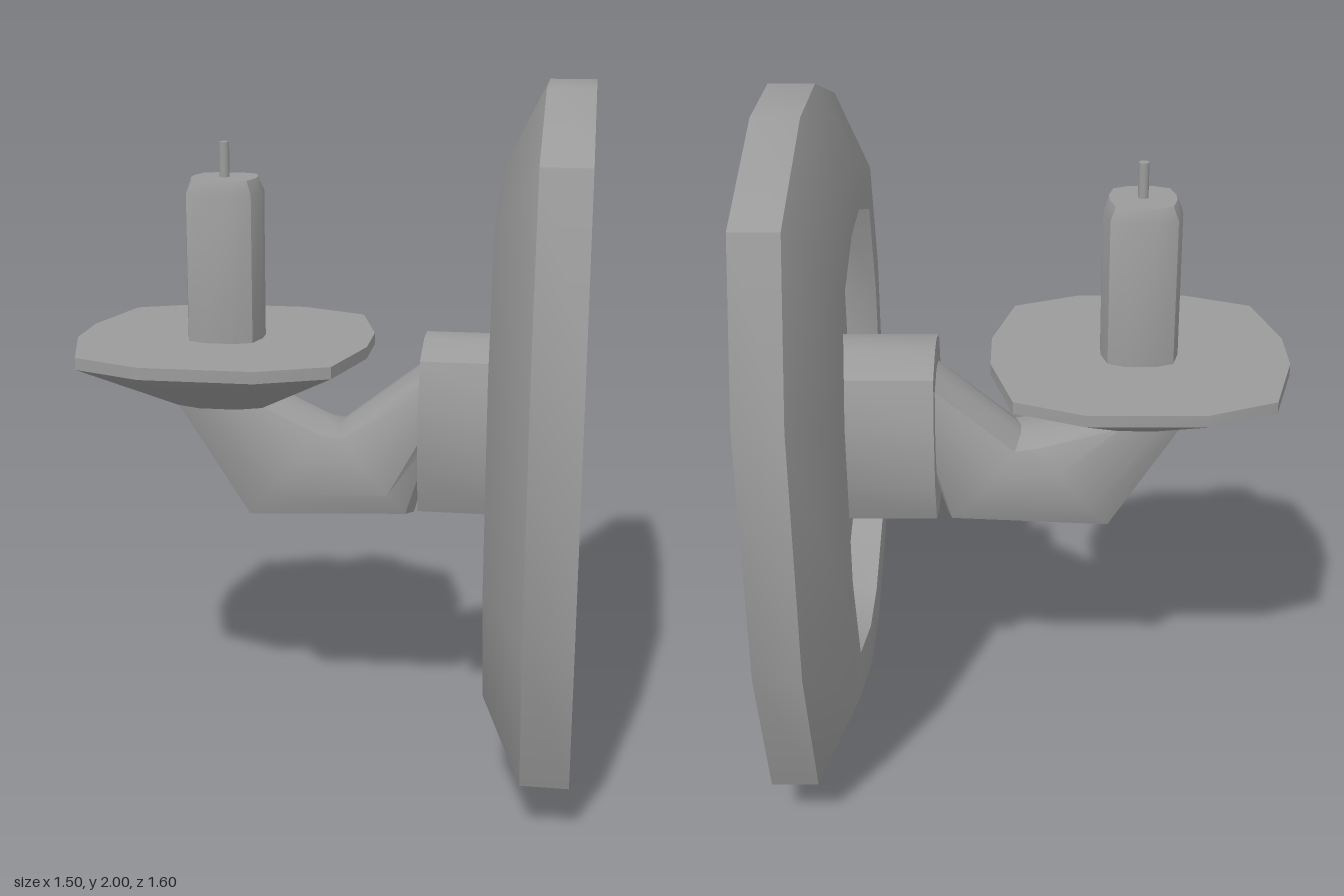
import * as THREE from 'three';
import { toCreasedNormals } from 'three/addons/utils/BufferGeometryUtils.js';

const V = (x, y, z) => new THREE.Vector3(x, y, z);
const material = new THREE.MeshStandardMaterial({ color: 0x9b9b9b });

// Rounded-square outline with twelve corners, in units of its half sizes.
const quadrant = [[1, 0.375], [0.8, 0.845], [0.215, 1]];
const outline = [];
for (const [su, sv] of [[1, 1], [-1, 1], [-1, -1], [1, -1]]) {
  const q = quadrant.map(([u, v]) => [u * su, v * sv]);
  outline.push(...(su * sv > 0 ? q : q.reverse()));
}

// Closed skin over sections { c: centre, u, v: half axes }, running along u x v.
function loft(name, sections) {
  const n = outline.length, pos = [], idx = [];
  for (const { c, u, v } of sections) {
    for (const [a, b] of outline) {
      pos.push(...c.clone().addScaledVector(u, a).addScaledVector(v, b).toArray());
    }
  }
  const last = sections.length - 1;
  const c0 = (last + 1) * n, c1 = c0 + 1;
  pos.push(...sections[0].c.toArray(), ...sections[last].c.toArray());
  for (let i = 0; i < n; i++) {
    const j = (i + 1) % n;
    for (let s = 0; s < last; s++) {
      const a = s * n + i, b = s * n + j;
      idx.push(a, b, b + n, a, b + n, a + n);
    }
    idx.push(c0, j, i, c1, last * n + i, last * n + j);
  }
  const g = new THREE.BufferGeometry();
  g.setAttribute('position', new THREE.Float32BufferAttribute(pos, 3));
  g.setIndex(idx);
  const mesh = new THREE.Mesh(toCreasedNormals(g, 0.7), material);
  mesh.name = name;
  return mesh;
}

// Section helpers: wall-parallel, horizontal, and slanted between two side points.
const upright = ([x, hz, hy]) => ({ c: V(x, 1, 0), u: V(0, 0, hz), v: V(0, hy, 0) });
const level = ([y, hx, hz]) => ({ c: V(-0.318, y, 0), u: V(0, 0, hz), v: V(hx, 0, 0) });
const slanted = ([x0, y0, x1, y1]) => ({
  c: V((x0 + x1) / 2, (y0 + y1) / 2, 0),
  u: V(0, 0, 0.145),
  v: V((x1 - x0) / 2, (y1 - y0) / 2, 0),
});

export function createModel() {
  const group = new THREE.Group();
  group.name = 'wallCandleHolder';

  // Wall plate with bevelled rim and recessed face: x, half depth, half height
  group.add(loft('wallPlate', [
    [0.75, 0.8, 1], [0.615, 0.8, 1], [0.5, 0.615, 0.77],
    [0.5, 0.51, 0.645], [0.6, 0.51, 0.645],
  ].map(upright)));

  // Socket joining plate and arm
  group.add(loft('armSocket', [[0.61, 0.213, 0.267], [0.28, 0.213, 0.267]].map(upright)));

  // Bent arm: lower point, upper point of each section
  group.add(loft('arm', [
    [0.31, 0.96, 0.32, 1.215],
    [0.255, 0.725, 0.03, 0.99],
    [-0.25, 0.7, -0.01, 1.005],
    [-0.47, 1.06, -0.17, 1.06],
  ].map(slanted)));

  // Drip dish: y, half width, half depth
  group.add(loft('dripDish', [
    [1.055, 0.15, 0.15], [1.21, 0.435, 0.44], [1.245, 0.435, 0.44],
  ].map(level)));

  // Candle with chamfered top
  group.add(loft('candle', [
    [1.24, 0.113, 0.116], [1.68, 0.113, 0.116], [1.72, 0.096, 0.1],
  ].map(level)));

  // Wick
  const wick = new THREE.Mesh(new THREE.CylinderGeometry(0.015, 0.015, 0.11, 16), material);
  wick.name = 'wick';
  wick.position.set(-0.318, 1.768, 0);
  group.add(wick);

  return group;
}
